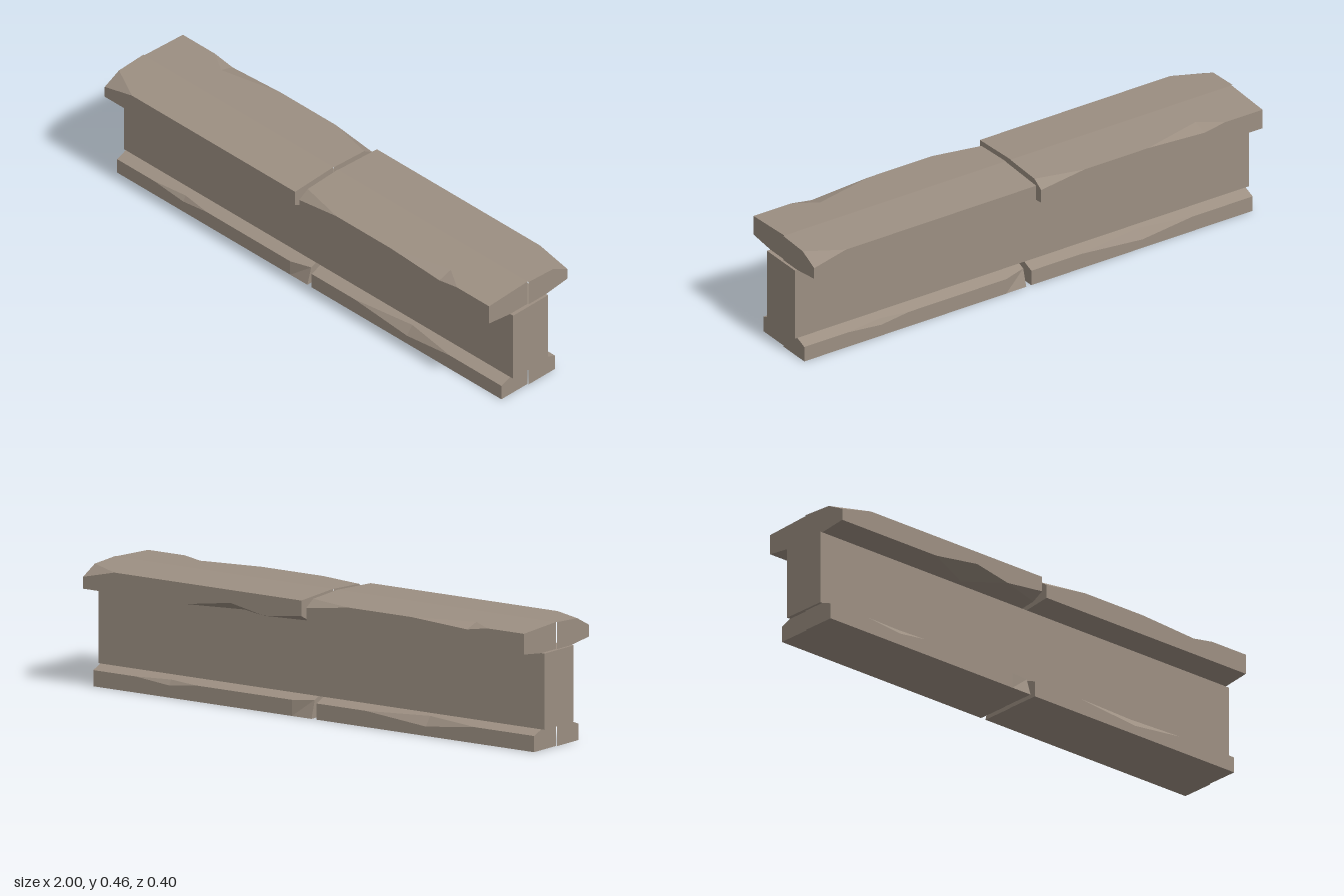
import * as THREE from 'three';

const stone = new THREE.MeshStandardMaterial({ color: 0x9c8f82 });
stone.name = 'weathered stone';

// Cross-sections of the front half, as [z, y] from the bottom centre round to the top centre
const capSection = ({ under = 0.198, low = 0.373, high = 0.45, over = 0.198 }) => [
  [0, 0.36], [0.09, 0.36],
  [under, 0.36 + (under - 0.09) * 0.12], [0.198, low],
  [0.198, high], [over, 0.46 - over * 0.0505], [0, 0.46],
];
const baseSection = ({ edge = 0.135, high = 0.06, over = edge }) => [
  [0, 0], [0.135, 0], [edge, high],
  [over, 0.06 + (0.135 - over) * 0.378], [0.09, 0.077], [0, 0.077],
];

// Lofts sections along x with flat faces and closed ends
function loft(stations, section) {
  const rings = stations.map(([x, chip = {}]) =>
    section(chip).map(([z, y]) => new THREE.Vector3(x, y, z)));
  const out = [];
  const tri = (a, b, c) => {
    const area = b.clone().sub(a).cross(c.clone().sub(a)).length();
    if (area > 1e-7) for (const p of [a, b, c]) out.push(p.x, p.y, p.z);
  };
  for (let i = 0; i < rings.length - 1; i++) {
    const r = rings[i], s = rings[i + 1];
    for (let j = 0; j < r.length - 1; j++) {
      tri(r[j], s[j], s[j + 1]);
      tri(r[j], s[j + 1], r[j + 1]);
    }
  }
  const first = rings[0], last = rings[rings.length - 1];
  for (let j = 1; j < first.length - 1; j++) {
    tri(first[0], first[j], first[j + 1]);
    tri(last[0], last[j + 1], last[j]);
  }
  const geometry = new THREE.BufferGeometry();
  geometry.setAttribute('position', new THREE.Float32BufferAttribute(out, 3));
  geometry.computeVertexNormals();
  return geometry;
}

// Chipped edges along the front: [x, chip]
const capLeft = [
  [0.01, { high: 0.425, over: 0.155 }], [0.2], [0.48],
  [0.73, { high: 0.435, over: 0.14 }], [0.82], [0.985],
];
const capRight = [
  [-0.99, { high: 0.417, over: 0.125 }], [-0.85], [-0.53],
  [-0.33, { low: 0.402, under: 0.11 }], [-0.18],
  [-0.012, { low: 0.392, under: 0.15 }],
];
const baseLeft = [
  [0.01], [0.23], [0.5, { high: 0.035, over: 0.108 }], [0.72], [0.985],
];
const baseRight = [
  [-0.99], [-0.8], [-0.65, { high: 0.045, over: 0.122 }], [-0.53], [-0.1],
  [-0.012, { edge: 0.115, high: 0.0676 }],
];

export function createModel() {
  const group = new THREE.Group();
  group.name = 'stoneWall';
  const add = (name, geometry, turn = 0) => {
    const mesh = new THREE.Mesh(geometry, stone);
    mesh.name = name;
    mesh.rotation.y = turn;
    group.add(mesh);
    return mesh;
  };

  // Central wall
  add('wall', new THREE.BoxGeometry(2, 0.283, 0.18)).position.y = 0.2185;

  // Coping and plinth stones; the back repeats the front turned half round
  const halves = [
    ['copingLeft', capLeft, capSection], ['copingRight', capRight, capSection],
    ['plinthLeft', baseLeft, baseSection], ['plinthRight', baseRight, baseSection],
  ];
  for (const [name, stations, section] of halves) {
    const geometry = loft(stations, section);
    add(name + 'Front', geometry);
    add(name + 'Turned', geometry, Math.PI);
  }
  return group;
}
